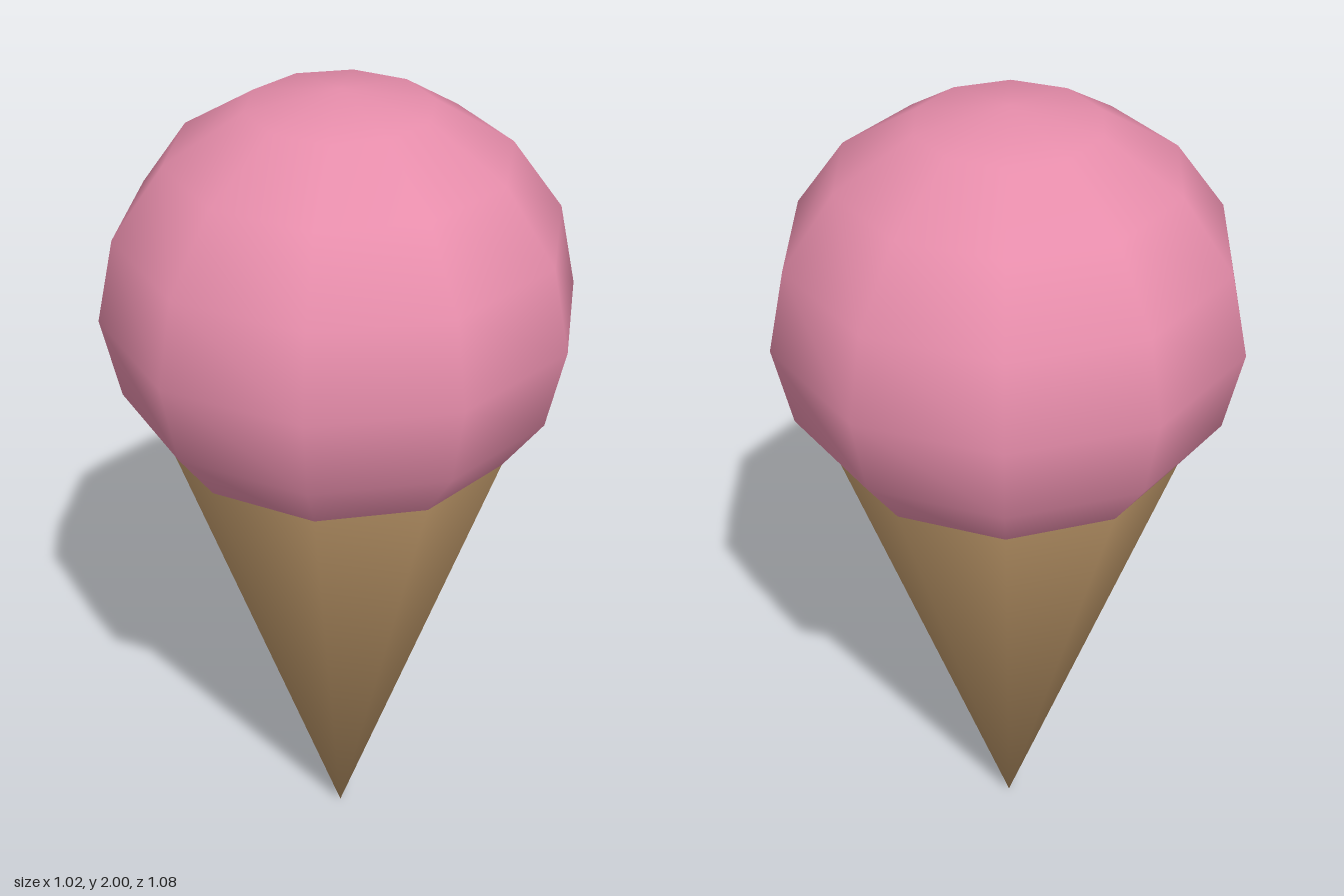
import * as THREE from 'three';
import { mergeVertices } from 'three/addons/utils/BufferGeometryUtils.js';

const SIDES = 10;

export function createModel() {
  const group = new THREE.Group();
  group.name = 'iceCream';

  const pink = new THREE.MeshStandardMaterial({ color: 0xe88eac });
  pink.name = 'strawberryPink';
  const tan = new THREE.MeshStandardMaterial({ color: 0xc8a06f, side: THREE.DoubleSide });
  tan.name = 'waferTan';

  // Scoop: a slightly flattened low-poly ball with corners on the z axis
  const ball = new THREE.SphereGeometry(0.538, SIDES, 8, Math.PI / 2);
  ball.scale(1, 0.5 / 0.538, 1);
  const scoop = new THREE.Mesh(ball, pink);
  scoop.name = 'scoop';
  scoop.position.y = 1.5;
  group.add(scoop);

  // Wafer cone: open at the rim, point down, welded so its tip is smooth
  const height = 1.18;
  let wafer = new THREE.CylinderGeometry(0.404, 0, height, SIDES, 1, true);
  wafer.deleteAttribute('normal');
  wafer.deleteAttribute('uv');
  wafer = mergeVertices(wafer);
  wafer.computeVertexNormals();
  const cone = new THREE.Mesh(wafer, tan);
  cone.name = 'cone';
  cone.position.y = height / 2;
  group.add(cone);

  return group;
}
